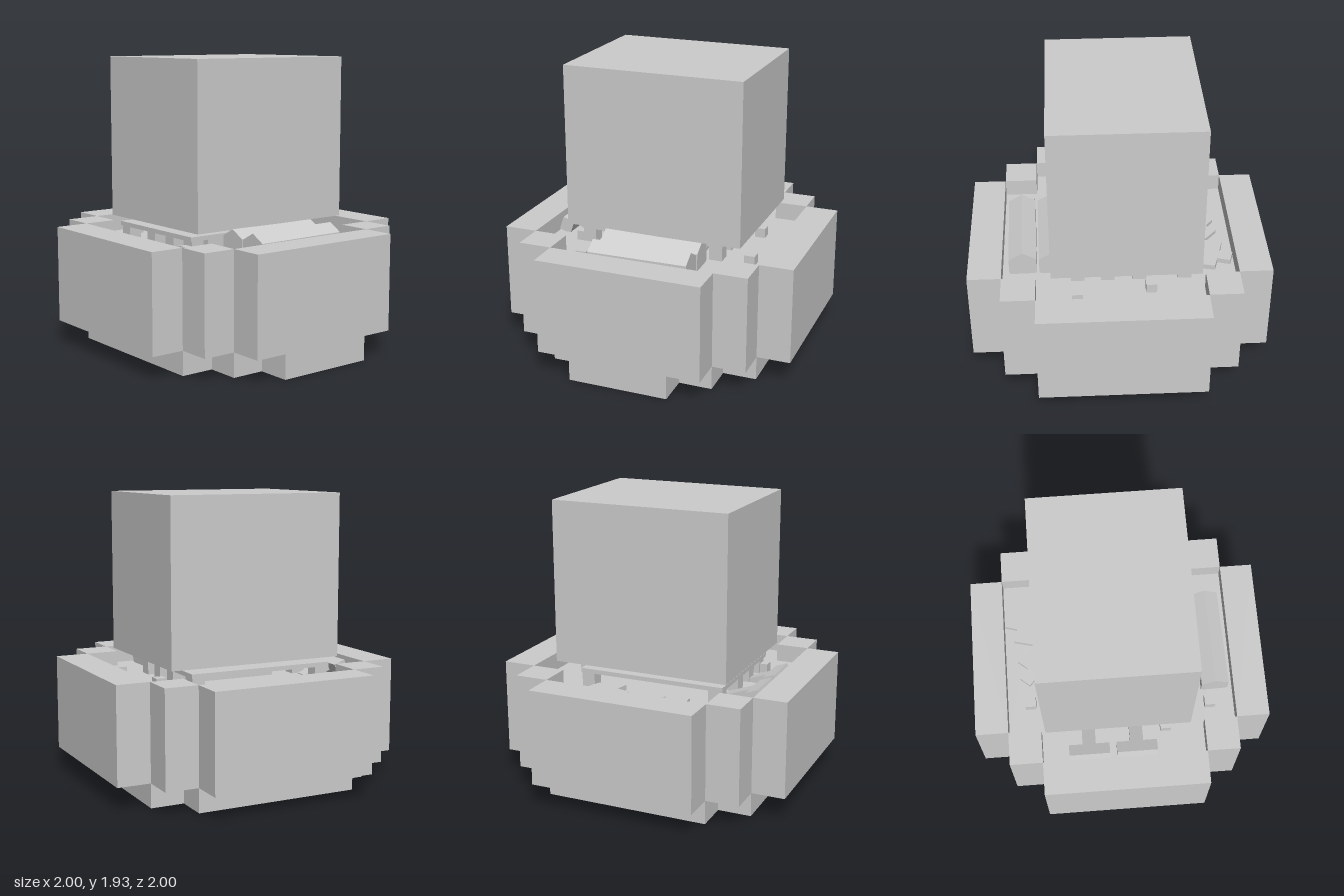
import * as THREE from 'three';

export function createModel() {
  const model = new THREE.Group();
  const stone = new THREE.MeshStandardMaterial({ color: 0xcccccc, flatShading: true });
  stone.name = 'plain grey';

  const add = (name, geometry, x = 0, y = 0, z = 0, parent = model) => {
    const mesh = new THREE.Mesh(geometry, stone);
    mesh.name = name;
    mesh.position.set(x, y, z);
    parent.add(mesh);
    return mesh;
  };
  // Box given by its limits on each axis
  const block = (name, x0, x1, y0, y1, z0, z1) =>
    add(name, new THREE.BoxGeometry(x1 - x0, y1 - y0, z1 - z0),
      (x0 + x1) / 2, (y0 + y1) / 2, (z0 + z1) / 2);
  // Flat outline in x, z raised from y0 to y1
  const slab = (name, shape, y0, y1) => {
    const g = new THREE.ExtrudeGeometry(shape, { depth: y1 - y0, bevelEnabled: false });
    return add(name, g.rotateX(-Math.PI / 2), 0, y0, 0);
  };
  const points = (list) => list.map(([x, y]) => new THREE.Vector2(x, y));

  // One stepped corner, turned four times into a closed blocky ring
  const stepped = (corner) => {
    const list = [];
    for (let q = 0; q < 4; q++) {
      const c = [1, 0, -1, 0][q], s = [0, 1, 0, -1][q];
      for (const [x, y] of corner) list.push([x * c - y * s, x * s + y * c]);
    }
    return points(list);
  };
  const A = 0.555, B = 0.778;
  const outer = stepped([[1, -A], [1, A], [B, A], [B, B], [A, B]]);
  const inner = stepped([[B, -A], [B, A], [A, A]]);

  // Basin: raised rim around a solid core whose top is the floor
  const rim = new THREE.Shape(outer);
  rim.holes.push(new THREE.Path(inner));
  slab('basinRim', rim, 0.16, 0.8);
  slab('basinCore', new THREE.Shape(inner), 0, 0.68);
  block('sideFoot', B, 1, 0, 0.16, -0.335, 0.335);

  // Large block on a low table
  block('topBlock', -0.525, 0.455, 0.845, 1.925, -0.62, 0.585);
  block('tableTop', -0.48, 0.33, 0.775, 0.804, -0.46, 0.545);
  block('tablePost', -0.15, 0.185, 0.68, 0.845, -0.3, 0.3);
  for (const x of [-0.43, -0.13, 0.08, 0.28])
    for (const z of [-0.41, 0.49])
      block('tableLeg', x - 0.045, x + 0.045, 0.68, 0.776, z - 0.045, z + 0.045);

  // Six-sided logs lying along one side
  for (const x of [0.447, 0.648]) {
    const log = add('log', new THREE.CylinderGeometry(0.107, 0.107, 0.67, 6).rotateX(Math.PI / 2),
      x, 0.743, -0.025);
    log.rotation.y = 0.02;
  }

  // Two mallets with their heads propped on the front rim
  for (const x of [-0.238, 0.085]) {
    const mallet = new THREE.Group();
    mallet.name = 'mallet';
    mallet.position.set(x, 0.785, 0.74);
    mallet.rotation.x = -0.35;
    add('malletHead', new THREE.BoxGeometry(0.275, 0.095, 0.085), 0, -0.0475, -0.0425, mallet);
    add('malletHandle', new THREE.BoxGeometry(0.09, 0.05, 0.2), 0, -0.03, -0.18, mallet);
    model.add(mallet);
  }

  // Toothed plates lying on the floor (outline as x, -z)
  slab('largeCog', new THREE.Shape(points([
    [-0.64, 0.385], [-0.665, 0.305], [-0.75, 0.33], [-0.775, 0.245], [-0.69, 0.22],
    [-0.715, 0.13], [-0.595, 0.1], [-0.55, 0.08], [-0.525, 0.17], [-0.44, 0.15],
    [-0.4, 0.3], [-0.52, 0.355]])), 0.68, 0.715);
  slab('smallCog', new THREE.Shape(points([
    [-0.595, 0.09], [-0.695, -0.02], [-0.63, -0.075], [-0.685, -0.145], [-0.62, -0.2],
    [-0.56, -0.13], [-0.51, -0.17], [-0.42, -0.08], [-0.5, 0.06]])), 0.68, 0.705);

  // Loose little cubes
  for (const [x, z] of [[0.61, 0.405], [-0.62, 0.33], [0.285, -0.64], [0.29, 0.55], [-0.2, -0.56]])
    block('looseCube', x - 0.036, x + 0.036, 0.68, 0.745, z - 0.036, z + 0.036);

  return model;
}
